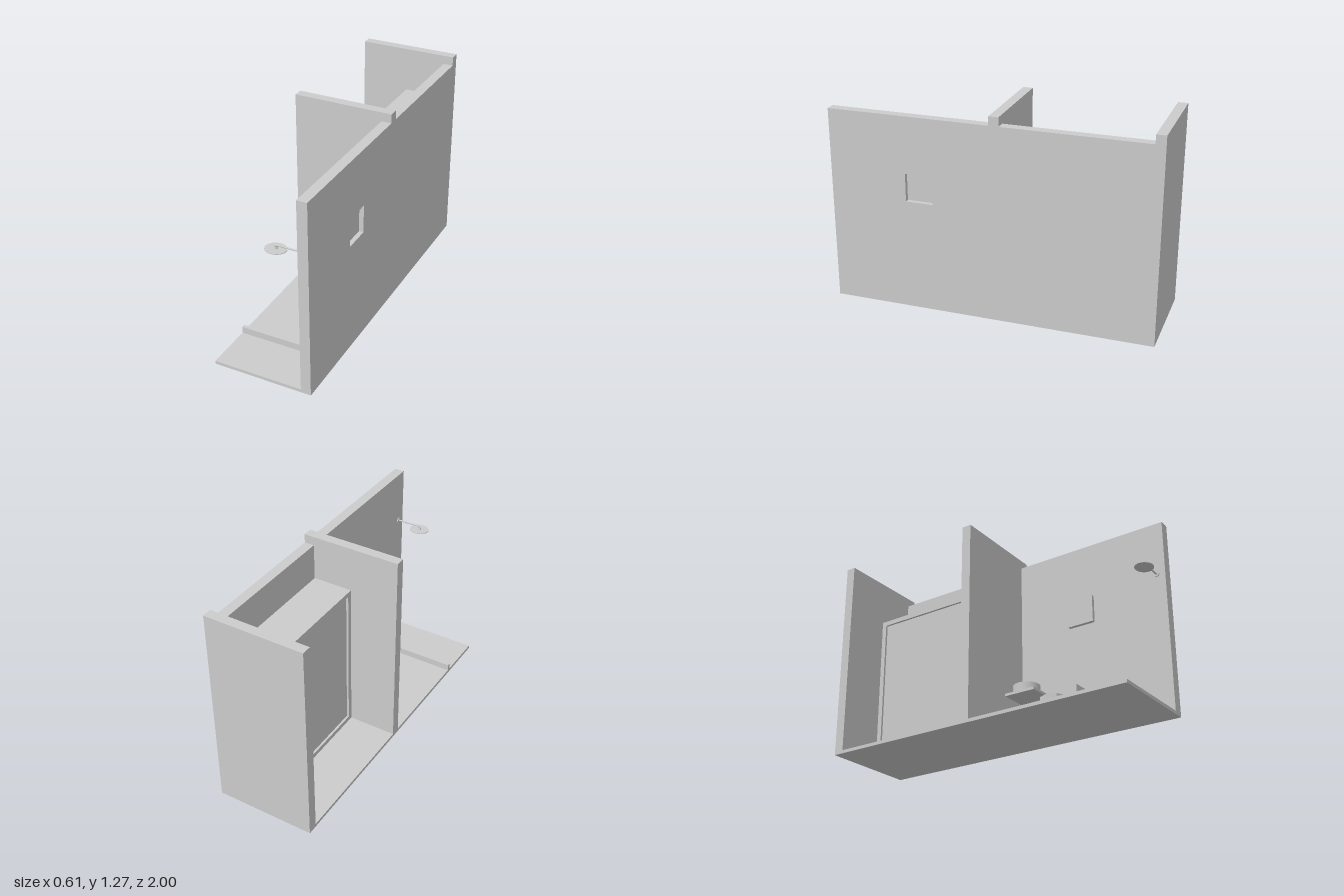
import * as THREE from 'three';
import { toCreasedNormals } from 'three/addons/utils/BufferGeometryUtils.js';

const EDGE = 0.307; // half width of the room
const WALL = 0.245; // inner face of the long wall
const FLOOR = 0.02;

export function createModel() {
  const group = new THREE.Group();
  const mat = new THREE.MeshStandardMaterial({ color: 0xcccccc, side: THREE.DoubleSide });

  const add = (name, geo, x = 0, y = 0, z = 0, parent = group) => {
    const mesh = new THREE.Mesh(geo, mat);
    mesh.name = name;
    mesh.position.set(x, y, z);
    parent.add(mesh);
    return mesh;
  };
  // Box given by its limits on each axis
  const box = (name, [x0, x1], [y0, y1], [z0, z1], parent) =>
    add(name, new THREE.BoxGeometry(x1 - x0, y1 - y0, z1 - z0),
      (x0 + x1) / 2, (y0 + y1) / 2, (z0 + z1) / 2, parent);
  const shapeOf = (pts) => new THREE.Shape(pts.map(([x, y]) => new THREE.Vector2(x, y)));

  // Floor and cross walls
  box('floor', [-EDGE, WALL], [0, FLOOR], [-1, 1]);
  box('backWall', [-EDGE, WALL], [FLOOR, 1.27], [-1, -0.94]);
  box('middleWall', [-EDGE, WALL], [FLOOR, 1.27], [-0.06, 0]);

  // Long wall with raised ends of the cross walls and a square opening (drawn with -z across)
  const wall = shapeOf([[-1, 0], [1, 0], [1, 1.27], [0.94, 1.27], [0.94, 1.215],
    [0.06, 1.215], [0.06, 1.27], [0, 1.27], [0, 1.215], [-1, 1.215]]);
  wall.holes.push(shapeOf([[-0.52, 0.69], [-0.52, 0.863], [-0.35, 0.863], [-0.35, 0.69]]));
  const wallGeo = new THREE.ExtrudeGeometry(wall, { depth: EDGE - WALL, bevelEnabled: false });
  wallGeo.rotateY(Math.PI / 2);
  add('longWall', wallGeo, WALL);
  box('openingPanel', [0.223, 0.279], [0.69, 0.863], [0.35, 0.52]);

  // Wardrobe with a shallow inset door
  const wardrobe = new THREE.Group();
  wardrobe.name = 'wardrobe';
  group.add(wardrobe);
  box('wardrobeBody', [0.01, WALL], [FLOOR, 0.99], [-0.94, -0.06], wardrobe);
  const frame = shapeOf([[0.06, FLOOR], [0.94, FLOOR], [0.94, 0.99], [0.06, 0.99]]);
  frame.holes.push(shapeOf([[0.09, 0.05], [0.09, 0.96], [0.91, 0.96], [0.91, 0.05]]));
  const frameGeo = new THREE.ExtrudeGeometry(frame, { depth: 0.014, bevelEnabled: false });
  frameGeo.rotateY(Math.PI / 2);
  add('wardrobeFrame', frameGeo, -0.004, 0, 0, wardrobe);

  // Shower curb
  box('showerCurb', [-EDGE, WALL], [FLOOR, 0.062], [0.683, 0.705]);

  // Shelf with round basin
  box('basinShelf', [0.057, WALL], [0.272, 0.288], [0, 0.202]);
  const bowl = [[0, 0], [0.082, 0], [0.082, 0.05], [0.079, 0.05], [0.077, 0.008], [0, 0.008]]
    .map(([x, y]) => new THREE.Vector2(x, y));
  add('basin', toCreasedNormals(new THREE.LatheGeometry(bowl, 32), 0.6), 0.139, 0.288, 0.1);

  // Upright prism from a plan outline; taper narrows it towards the ground
  const prism = (shape, height, taper) => {
    const geo = new THREE.ExtrudeGeometry(shape,
      { depth: height, steps: taper ? 6 : 1, bevelEnabled: false, curveSegments: 16 });
    geo.rotateX(-Math.PI / 2);
    const p = geo.attributes.position;
    for (let i = 0; i < p.count && taper; i++) {
      const t = Math.max(0, 1 - p.getY(i) / height) ** 1.2;
      p.setX(i, WALL + (p.getX(i) - WALL) * (1 - 0.14 * t));
      p.setZ(i, p.getZ(i) * (1 - 0.3 * t));
    }
    return toCreasedNormals(geo, 0.6);
  };

  // Bidet: rounded front, flat back on the wall
  const round = new THREE.Shape();
  round.moveTo(WALL, 0.075);
  round.lineTo(0.09, 0.075);
  round.absarc(0.09, 0, 0.075, Math.PI / 2, Math.PI * 1.5, false);
  round.lineTo(WALL, -0.075);
  round.closePath();
  add('bidet', prism(round, 0.133, true), 0, FLOOR, 0.545);

  // Toilet: faceted front, tapered base, rim and lid
  const faceted = (back) => shapeOf([[back, 0.075], [0.08, 0.075], [0.031, 0.055], [0.012, 0],
    [0.031, -0.055], [0.08, -0.075], [back, -0.075]]);
  const toilet = new THREE.Group();
  toilet.name = 'toilet';
  toilet.position.z = 0.317;
  group.add(toilet);
  add('toiletBase', prism(faceted(WALL), 0.133, true), 0, FLOOR, 0, toilet);
  add('toiletRim', prism(faceted(WALL), 0.035, false), 0, 0.153, 0, toilet);
  add('toiletLid', prism(faceted(0.218), 0.012, false), 0, 0.188, 0, toilet);

  // Shower: wall flange, bent arm and flat head
  const shower = new THREE.Group();
  shower.name = 'shower';
  shower.position.z = 0.945;
  group.add(shower);
  const flange = new THREE.CylinderGeometry(0.017, 0.017, 0.006, 24);
  flange.rotateZ(Math.PI / 2);
  add('showerFlange', flange, 0.242, 0.88, 0, shower);
  const arm = new THREE.CatmullRomCurve3([[0.245, 0.88], [0.17, 0.88], [0.1, 0.88],
    [0.088, 0.877], [0.083, 0.869], [0.083, 0.857]].map(([x, y]) => new THREE.Vector3(x, y, 0)));
  add('showerArm', new THREE.TubeGeometry(arm, 32, 0.005, 10), 0, 0, 0, shower);
  add('showerJoint', new THREE.CylinderGeometry(0.008, 0.012, 0.012, 16), 0.086, 0.864, 0, shower);
  const head = add('showerHead', new THREE.CylinderGeometry(0.062, 0.062, 0.004, 40), 0.087, 0.857, 0, shower);
  head.scale.z = 0.88;

  return group;
}
